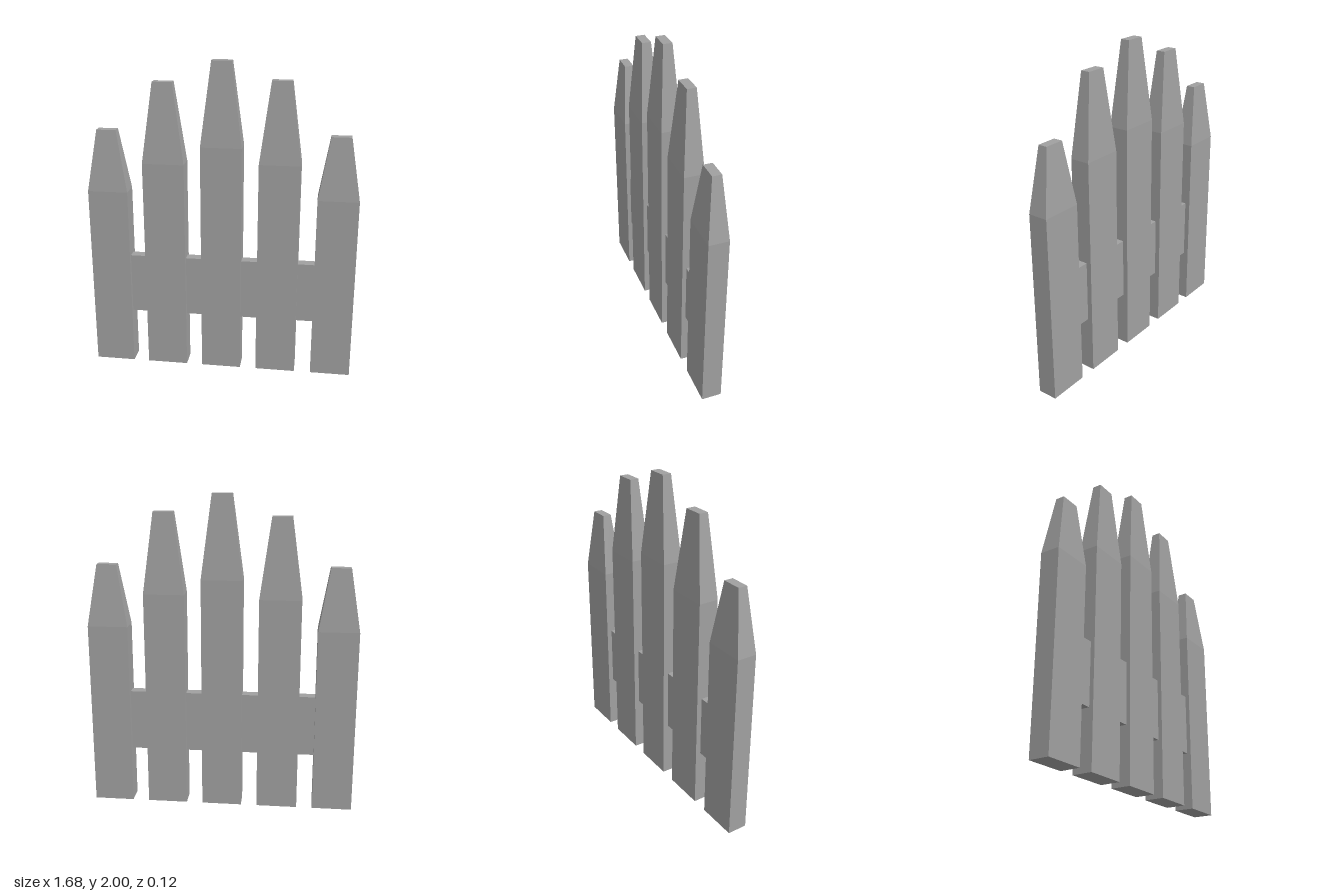
import * as THREE from 'three';

const grey = new THREE.MeshStandardMaterial({ color: 0xa0a0a0 });
grey.name = 'grey';

// Straight board whose upper part tapers to a small flat tip
function picketGeometry(width, shoulder, height) {
  const depth = 0.124, tipWidth = 0.122, tipDepth = 0.056;
  const box = new THREE.BoxGeometry(1, 2, 1, 1, 2, 1);
  const p = box.attributes.position;
  for (let i = 0; i < p.count; i++) {
    const level = Math.round(p.getY(i)) + 1; // 0 foot, 1 shoulder, 2 tip
    const tip = level === 2;
    p.setXYZ(
      i,
      p.getX(i) * (tip ? tipWidth : width),
      [0, shoulder, height][level],
      p.getZ(i) * (tip ? tipDepth : depth)
    );
  }
  const geometry = box.toNonIndexed();
  geometry.computeVertexNormals();
  return geometry;
}

export function createModel() {
  const fence = new THREE.Group();
  fence.name = 'picketFence';

  // Pickets: x, width, shoulder height, full height
  const pickets = [
    [-0.717, 0.252, 1.18, 1.567],
    [-0.36, 0.26, 1.37, 1.868],
    [-0.001, 0.254, 1.485, 2],
    [0.356, 0.254, 1.39, 1.89],
    [0.714, 0.252, 1.18, 1.567],
  ];
  pickets.forEach(([x, width, shoulder, height], i) => {
    const picket = new THREE.Mesh(picketGeometry(width, shoulder, height), grey);
    picket.name = `picket${i + 1}`;
    picket.position.x = x;
    fence.add(picket);
  });

  // Cross rail running through all pickets
  const rail = new THREE.Mesh(new THREE.BoxGeometry(1.4, 0.39, 0.066), grey);
  rail.name = 'crossRail';
  rail.position.set(0, 0.554, 0.003);
  fence.add(rail);

  return fence;
}
